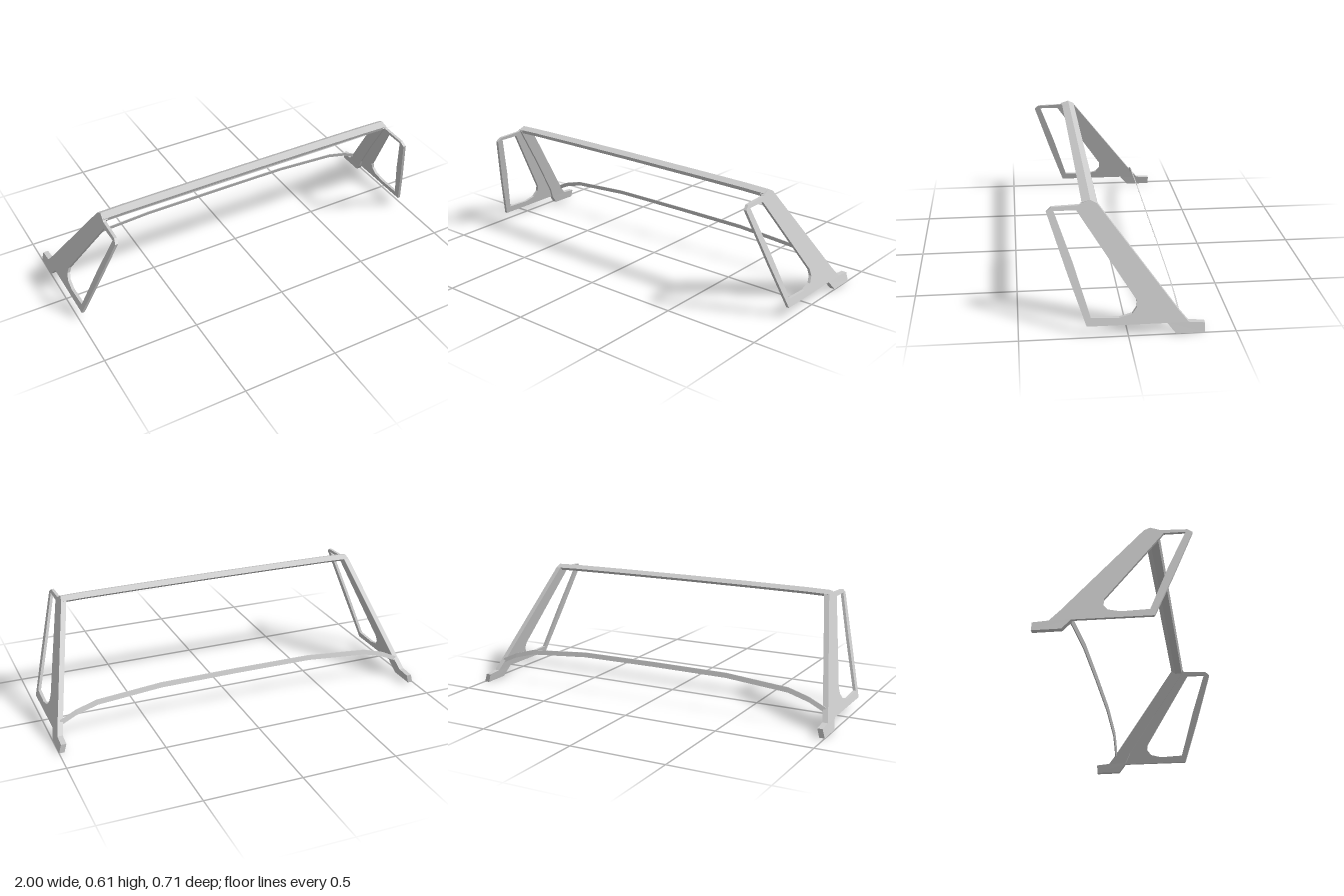
import * as THREE from 'three';

const material = new THREE.MeshStandardMaterial({ color: 0xcccccc, flatShading: true });

function addMesh(parent, name, geometry) {
  geometry.computeVertexNormals();
  const mesh = new THREE.Mesh(geometry, material);
  mesh.name = name;
  parent.add(mesh);
}

const toPoints = (list) => list.map(([z, y]) => new THREE.Vector2(z, y));

// Outer face of each side leans inward towards the top
const outerX = (y) => Math.min(1, 0.826 + 0.293 * (0.6 - y));

// Plate outlined in (z, y), given a thickness and leaned with the side
function sidePlate(outline, hole, thickness, side) {
  const shape = new THREE.Shape(toPoints(outline));
  if (hole) shape.holes.push(new THREE.Path(toPoints(hole)));
  const geometry = new THREE.ExtrudeGeometry(shape, { depth: thickness, bevelEnabled: false });
  const p = geometry.attributes.position;
  for (let i = 0; i < p.count; i++) {
    const z = p.getX(i), y = p.getY(i), d = p.getZ(i);
    const x = side > 0 ? outerX(y) - d : -outerX(y) + thickness - d;
    p.setXYZ(i, x, y, z);
  }
  return geometry;
}

// Closed bar through rings of [x, y, z], ordered along +x,
// each ring running counter-clockwise in (z, y)
function loft(rings) {
  const n = rings[0].length, index = [];
  for (let r = 0; r < rings.length - 1; r++) {
    for (let i = 0; i < n; i++) {
      const a = r * n + i, b = r * n + (i + 1) % n;
      index.push(a, a + n, b, b, a + n, b + n);
    }
  }
  const last = (rings.length - 1) * n;
  for (let i = 1; i < n - 1; i++) {
    index.push(0, i, i + 1, last, last + i + 1, last + i);
  }
  const geometry = new THREE.BufferGeometry();
  geometry.setAttribute('position', new THREE.Float32BufferAttribute(rings.flat(2), 3));
  geometry.setIndex(index);
  return geometry.toNonIndexed();
}

// Half-span stations mirrored into a full list from -x to +x
const mirrored = (half) => [
  ...half.slice(1).reverse().map(([x, ...rest]) => [-x, ...rest]),
  ...half,
];

export function createModel() {
  const model = new THREE.Group();
  model.name = 'windshieldFrame';

  // Quarter window frame, with its rear edge along the pillar
  const windowOutline = [
    [0.19, 0.052], [0.27, 0.285], [0.358, 0.56], [0.335, 0.58], [0.205, 0.585],
    [0.2, 0.588], [0.01, 0.335], [-0.15, 0.11], [-0.18, 0.052],
  ];
  const windowHole = [
    [0.17, 0.09], [0.245, 0.335], [0.325, 0.563], [0.222, 0.563], [-0.04, 0.163],
    [-0.043, 0.13], [-0.02, 0.1], [0.04, 0.085],
  ];
  // Thick pillar running down into the mounting foot
  const pillarOutline = [
    [0.2, 0.588], [0.157, 0.606], [0.127, 0.59], [-0.235, 0.107], [-0.28, 0.053],
    [-0.355, 0.047], [-0.355, 0.002], [-0.22, 0.003], [-0.18, 0.052],
    [-0.15, 0.11], [0.01, 0.335],
  ];

  for (const side of [1, -1]) {
    const group = new THREE.Group();
    group.name = side > 0 ? 'leftSide' : 'rightSide';
    addMesh(group, 'quarterWindowFrame', sidePlate(windowOutline, windowHole, 0.015, side));
    addMesh(group, 'pillar', sidePlate(pillarOutline, null, 0.027, side));
    model.add(group);
  }

  // Header rail, slightly bowed upward: [x, rise]
  const headerSection = [[0.15, 0.572], [0.188, 0.574], [0.196, 0.594], [0.157, 0.606], [0.125, 0.589]];
  const headerRings = mirrored([[0, 0.006], [0.4, 0.005], [0.7, 0.003], [0.822, 0]])
    .map(([x, rise]) => headerSection.map(([z, y]) => [x, y + rise, z]));
  addMesh(model, 'headerRail', loft(headerRings));

  // Thin cowl strip arching between the pillar bases: [x, y, z]
  const stripSection = [[-0.002, -0.012], [0.006, 0.012], [0.001, 0.012], [-0.007, -0.012]];
  const stripRings = mirrored([
    [0, 0.198, -0.214], [0.42, 0.196, -0.215], [0.76, 0.17, -0.222],
    [0.87, 0.14, -0.229], [0.958, 0.1, -0.235],
  ]).map(([x, y, z]) => stripSection.map(([dz, dy]) => [x, y + dy, z + dz]));
  addMesh(model, 'cowlStrip', loft(stripRings));

  return model;
}
